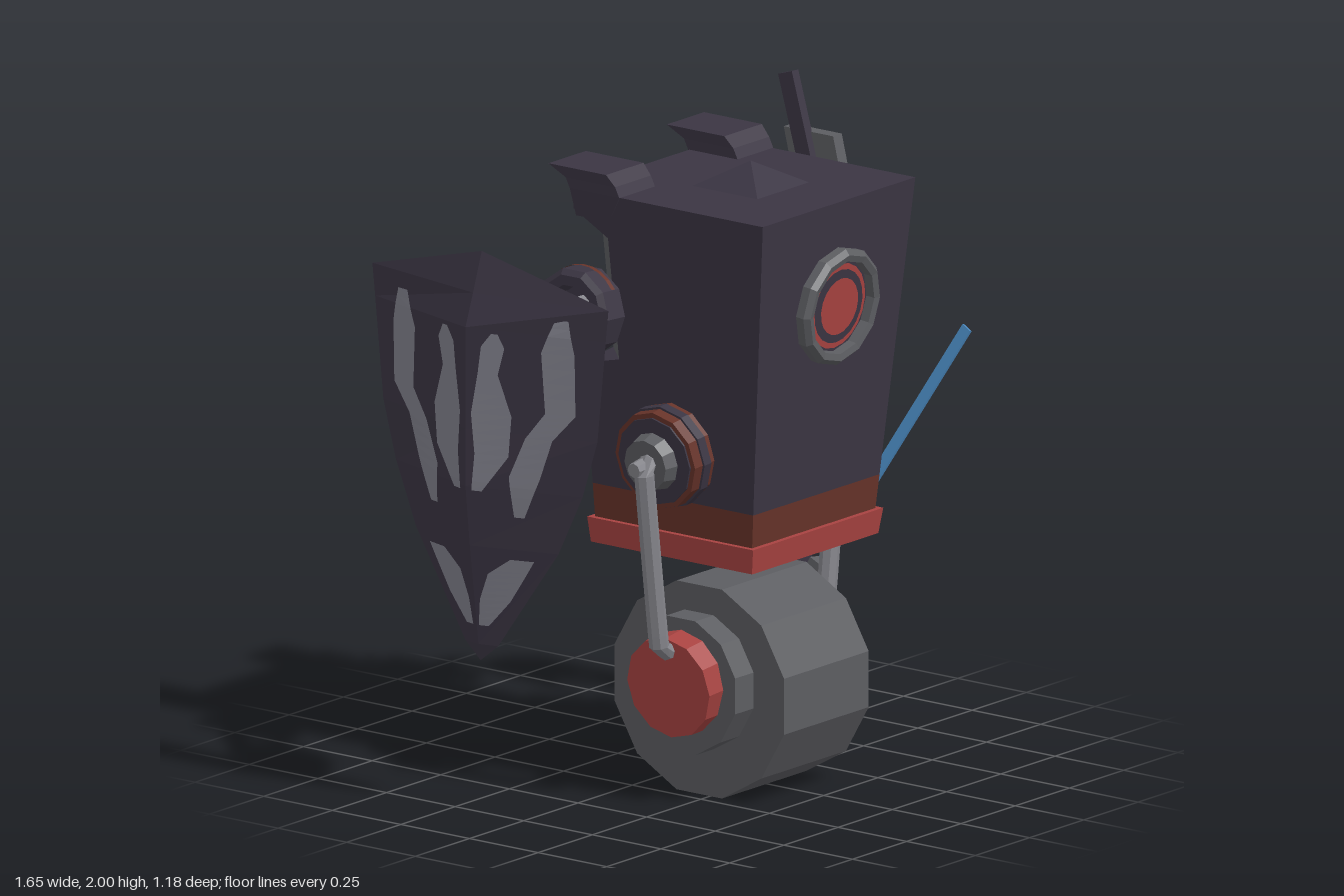
import * as THREE from 'three';

const V = (x, y, z) => new THREE.Vector3(x, y, z);
const mat = (name, color, side = THREE.FrontSide) => {
  const m = new THREE.MeshStandardMaterial({ color, side });
  m.name = name;
  return m;
};

export function createModel() {
  const dark = mat('dark plating', 0x3b3543, THREE.DoubleSide);
  const grey = mat('wheel grey', 0x5c5d61);
  const metal = mat('bare metal', 0x85858b);
  const red = mat('red paint', 0xa84341);
  const rust = mat('rust brown', 0x673329, THREE.DoubleSide);
  const blue = mat('blue blade', 0x4c8cc4);
  const worn = mat('worn patches', 0x82828d, THREE.DoubleSide);
  const model = new THREE.Group();
  const CX = -0.012;

  // Faceted mesh
  const add = (name, geo, material, parent = model) => {
    const g = geo.index ? geo.toNonIndexed() : geo;
    g.computeVertexNormals();
    const m = new THREE.Mesh(g, material);
    m.name = name;
    parent.add(m);
    return m;
  };
  // Skin through equal rings of points; pick chooses which facets are made
  const loft = (rings, pick = () => true, caps = true) => {
    const out = [], tri = (...p) => p.forEach(v => out.push(v.x, v.y, v.z));
    const n = rings[0].length;
    for (let i = 0; i + 1 < rings.length; i++) for (let j = 0; j < n; j++) {
      if (!pick(i, j)) continue;
      const a = rings[i], b = rings[i + 1], k = (j + 1) % n;
      tri(a[j], a[k], b[k]);
      tri(a[j], b[k], b[j]);
    }
    if (caps) for (let j = 1; j + 1 < n; j++) {
      const a = rings[0], b = rings[rings.length - 1];
      tri(a[0], a[j + 1], a[j]);
      tri(b[0], b[j], b[j + 1]);
    }
    const g = new THREE.BufferGeometry();
    g.setAttribute('position', new THREE.Float32BufferAttribute(out, 3));
    return g;
  };
  // Part whose local y runs from p to q
  const between = (name, p, q, makeGeo, material) => {
    const d = q.clone().sub(p);
    const m = add(name, makeGeo(d.length()), material);
    m.position.copy(p).addScaledVector(d, 0.5);
    m.quaternion.setFromUnitVectors(V(0, 1, 0), d.normalize());
    return m;
  };
  const tube = (name, pts, r, material = metal) => add(name,
    new THREE.TubeGeometry(new THREE.CatmullRomCurve3(pts, false, 'catmullrom', 0.12), 18, r, 8), material);
  const pivot = (name, x, y, z, rz) => {
    const g = new THREE.Group();
    g.name = name;
    g.position.set(x, y, z);
    g.rotation.z = rz;
    model.add(g);
    return g;
  };

  // Tapered body, with cut-away rear corners behind the shoulders
  const ring = (y, c = 0.001, inset = 0, grow = 0) => {
    const t = (y - 0.78) / 0.99, L = THREE.MathUtils.lerp;
    const x0 = L(-0.295, -0.363, t) - grow, x1 = L(0.272, 0.34, t) + grow;
    const z0 = L(-0.1, -0.13, t) + inset - grow, z1 = L(0.472, 0.565, t) + grow;
    return [V(x0, y, z1), V(x1, y, z1), V(x1, y, z0 + c), V(x1 - c, y, z0), V(x0 + c, y, z0), V(x0, y, z0 + c)];
  };
  const bodyRings = [ring(0.89), ring(1.25), ring(1.28, 0.1, 0.03), ring(1.64, 0.1, 0.02), ring(1.71), ring(1.77)];
  const isRecess = (i, j) => i === 2 && (j === 2 || j === 4);
  add('body', loft(bodyRings, (i, j) => !isRecess(i, j)), dark);
  add('shoulderRecess', loft(bodyRings, isRecess, false), grey);
  add('bodyBand', loft([ring(0.785), ring(0.89)]), rust);
  add('bodyBase', loft([ring(0.715, 0.001, 0, 0.012), ring(0.79, 0.001, 0, 0.016)]), red);

  // Roof pyramid
  const roof = add('roofPyramid', new THREE.ConeGeometry(0.168, 0.07, 4), dark);
  roof.rotation.y = Math.PI / 4;
  roof.position.set(-0.012, 1.805, 0.243);

  // Swept fins on the rear roof corners
  for (const s of [-1, 1]) {
    const a = CX + s * 0.355, b = CX + s * 0.19;
    const [x0, x1] = s > 0 ? [b, a] : [a, b];
    const sec = (y, zf, zb, k) => [V(x0 - k, y, zf), V(x1 + k, y, zf), V(x1 + k, y, zb), V(x0 - k, y, zb)];
    add('roofFin', loft([sec(1.69, 0.0, -0.12, -0.01), sec(1.77, 0.045, -0.135, 0), sec(1.8, 0.03, -0.15, 0), sec(1.832, 0.0, -0.21, 0.004)]), dark);
  }

  // Round eye
  const eye = pivot('eye', 0, 1.46, 0.534, 0);
  eye.rotation.x = 0.095;
  const rim = add('eyeRim', new THREE.LatheGeometry([[0.172, -0.02], [0.175, 0.03], [0.16, 0.045], [0.14, 0.04], [0.138, 0.008]]
    .map(p => new THREE.Vector2(...p)), 12), grey, eye);
  rim.rotation.x = Math.PI / 2;
  [[0.14, dark], [0.127, red], [0.11, dark], [0.085, red]].forEach(([r, m], i) => {
    add('eyeDisc', new THREE.CircleGeometry(r, 20), m, eye).position.z = 0.012 + i * 0.004;
  });

  // Wheel and hubs
  const wheel = add('wheel', new THREE.CylinderGeometry(0.32, 0.32, 0.39, 12).rotateY(Math.PI / 12).rotateZ(Math.PI / 2), grey);
  wheel.position.set(CX, 0.31, 0.21);
  const hub = add('wheelHub', new THREE.CylinderGeometry(0.205, 0.205, 0.56, 12).rotateY(Math.PI / 12).rotateZ(Math.PI / 2), grey);
  hub.position.set(CX, 0.34, 0.21);

  for (const s of [-1, 1]) {
    const X = x => CX + s * x;
    const turn = -s * (Math.PI / 2 + 0.09);
    const cyl = (name, g, r0, r1, h, y, m, n = 12) => {
      add(name, new THREE.CylinderGeometry(r1, r0, h, n), m, g).position.y = y;
    };
    const cap = pivot('wheelCap', X(0.29), 0.35, 0.212, turn);
    cyl('redCap', cap, 0.155, 0.15, 0.1, 0, red);

    // Hip discs and leg strut
    const hip = pivot('hip', X(0.33), 1.03, 0.2, turn);
    cyl('hipDisc', hip, 0.15, 0.145, 0.11, 0, rust);
    cyl('hipStripe', hip, 0.153, 0.153, 0.032, 0.005, dark);
    cyl('hipFace', hip, 0.13, 0.13, 0.01, 0.056, dark);
    cyl('hipKnob', hip, 0.09, 0.075, 0.055, 0.075, grey);
    cyl('hipBolt', hip, 0.028, 0.022, 0.07, 0.12, metal, 8);
    tube('legStrut', [V(X(0.4), 1.025, 0.21), V(X(0.452), 1.015, 0.212), V(X(0.385), 0.475, 0.215), V(X(0.32), 0.46, 0.215)], 0.029);

    // Shoulder drum on its axle
    const sh = pivot('shoulder', X(0.415), 1.435, -0.042, -s * (Math.PI / 2 - 0.06));
    add('shoulderDrum', new THREE.LatheGeometry([[0, -0.06], [0.1, -0.06], [0.132, -0.03], [0.132, 0.045], [0.115, 0.06], [0.085, 0.06], [0.08, -0.01], [0, -0.01]]
      .map(p => new THREE.Vector2(...p)), 10), dark, sh);
    add('shoulderStripe', new THREE.CylinderGeometry(0.135, 0.135, 0.016, 10, 1, true, Math.PI * 0.2, Math.PI * 0.8), rust, sh);
    cyl('shoulderAxle', sh, 0.022, 0.022, 0.24, -0.06, grey, 8);
  }

  // Arms
  tube('leftArm', [V(0.4, 1.45, -0.04), V(0.44, 1.45, -0.04), V(0.525, 1.34, -0.115), V(0.57, 0.95, -0.135), V(0.605, 0.5, -0.135)], 0.032);
  tube('rightArm', [V(-0.42, 1.45, -0.04), V(-0.46, 1.45, -0.04), V(-0.55, 1.31, -0.115), V(-0.59, 1.1, -0.14), V(-0.605, 0.9, -0.165)], 0.032);

  // Open forearm guards with rust lining and painted bars
  const guard = (name, x, y, z, h, r, start, tilt, out) => {
    const g = pivot(name, x, y, z, tilt);
    const shell = (n, rad, hh, yy, a, len, seg, m) => {
      add(n, new THREE.CylinderGeometry(rad * 0.92, rad, hh, seg, 1, true, a, len), m, g).position.y = yy;
    };
    shell('guardShell', r, h, 0, start, 4.9, 7, dark);
    shell('guardLining', r - 0.008, h * 0.4, -h * 0.28, start, 4.9, 7, rust);
    for (const [a, yy, hh, len] of [[-0.5, 0.02, 0.1, 0.18], [0.0, 0.03, 0.08, 0.18], [0.35, 0, 0.12, 0.18], [-0.45, -0.05, 0.03, 0.55]])
      shell('guardBar', r + 0.006, hh, yy, out + a, len, 2, rust);
    return g;
  };
  guard('leftGuard', 0.59, 0.905, -0.165, 0.34, 0.122, 0.3, -0.08, Math.PI / 2);
  const rg = guard('rightGuard', -0.62, 0.94, -0.17, 0.27, 0.112, 1.1, -0.2, -Math.PI / 2);
  add('forearmEnd', new THREE.CylinderGeometry(0.06, 0.07, 0.22, 10), red, rg).position.y = -0.01;

  // Wrist and gripping fingers
  const wrist = pivot('wrist', 0.605, 0.49, -0.135, 0.06);
  add('wristRing', new THREE.CylinderGeometry(0.093, 0.088, 0.085, 10), dark, wrist);
  add('wristCap', new THREE.CylinderGeometry(0.055, 0.08, 0.03, 10), grey, wrist).position.y = 0.055;
  for (const [x, z, kx] of [[0.535, -0.11, 0.525], [0.665, -0.11, 0.64], [0.6, -0.2, 0.6]])
    tube('finger', [V(x, 0.47, z), V(kx, 0.35, z + 0.01), V(0.575, 0.27, -0.085)], 0.016);

  // Sword
  between('swordHandle', V(0.545, 0.12, -0.165), V(0.605, 0.49, 0.01), l => new THREE.BoxGeometry(0.06, l, 0.035), grey);
  const blade = between('swordBlade', V(0.605, 0.46, 0), V(0.825, 1.19, 0.37), l => new THREE.BoxGeometry(0.008, l, 0.036), blue);
  blade.rotateY(-0.15);

  // Roof lever with its side plate
  const bar = between('leverBar', V(0.352, 1.62, 0.2), V(0.37, 1.995, 0.078), l => new THREE.BoxGeometry(0.03, l, 0.052), dark);
  bar.updateMatrix();
  const slab = (y, x, z0, z1) => [V(x - 0.02, y, z1), V(x + 0.02, y, z1), V(x + 0.02, y, z0), V(x - 0.02, y, z0)];
  add('leverPlate', loft([slab(1.63, 0.38, 0.12, 0.3), slab(1.83, 0.392, 0.06, 0.24)]), grey);

  // Shield: rows of y, half width, edge x, outer ridge x, inner ridge x
  const rows = [[0.45, 0, -0.75, -0.75, -0.75], [0.5, 0.06, -0.745, -0.76, -0.75], [0.8, 0.26, -0.72, -0.8, -0.748],
    [0.98, 0.34, -0.71, -0.82, -0.745], [1.15, 0.39, -0.705, -0.82, -0.745], [1.45, 0.42, -0.705, -0.82, -0.745],
    [1.545, 0.43, -0.705, -0.785, -0.735], [1.66, 0, -0.745, -0.745, -0.745]];
  const SZ = -0.157;
  const rowAt = y => {
    const i = Math.max(1, rows.findIndex(r => r[0] >= y)), a = rows[i - 1], b = rows[i];
    return a.map((v, k) => THREE.MathUtils.lerp(v, b[k], (y - a[0]) / (b[0] - a[0])));
  };
  add('shield', loft(rows.map(([y, w, e, o, n]) => [V(o, y, SZ), V(e, y, SZ + w), V(n, y, SZ), V(e, y, SZ - w)]), undefined, false), dark);

  // Worn patches on both shield faces: outlines of y, near z, far z from the ridge
  const patches = [
    [[0.97, 0.02, 0.05], [1.08, 0.03, 0.13], [1.2, 0.02, 0.14], [1.32, 0.04, 0.1], [1.4, 0.05, 0.12], [1.44, 0.08, 0.1]],
    [[0.9, 0.14, 0.17], [1.02, 0.13, 0.22], [1.14, 0.18, 0.26], [1.22, 0.24, 0.33], [1.4, 0.23, 0.33], [1.5, 0.27, 0.31]],
    [[0.56, 0.01, 0.04], [0.64, 0.02, 0.11], [0.72, 0.05, 0.16], [0.77, 0.12, 0.19]]];
  for (const face of [3, 4]) for (const s of [-1, 1]) for (const p of patches) {
    const at = (y, t) => {
      const r = rowAt(y);
      const x = THREE.MathUtils.lerp(r[face], r[2], Math.min(1, t / r[1]));
      return V(x + (face === 3 ? -0.006 : 0.006), y, SZ + s * t);
    };
    const strip = [];
    for (let i = 0; i + 1 < p.length; i++) for (let k = 0; k <= 4; k++) {
      const [y, a, b] = p[i].map((v, q) => THREE.MathUtils.lerp(v, p[i + 1][q], k / 4));
      strip.push([at(y, a), at(y, b)]);
    }
    add('shieldPatch', loft(strip, (i, j) => j === 0, false), worn);
  }
  return model;
}
